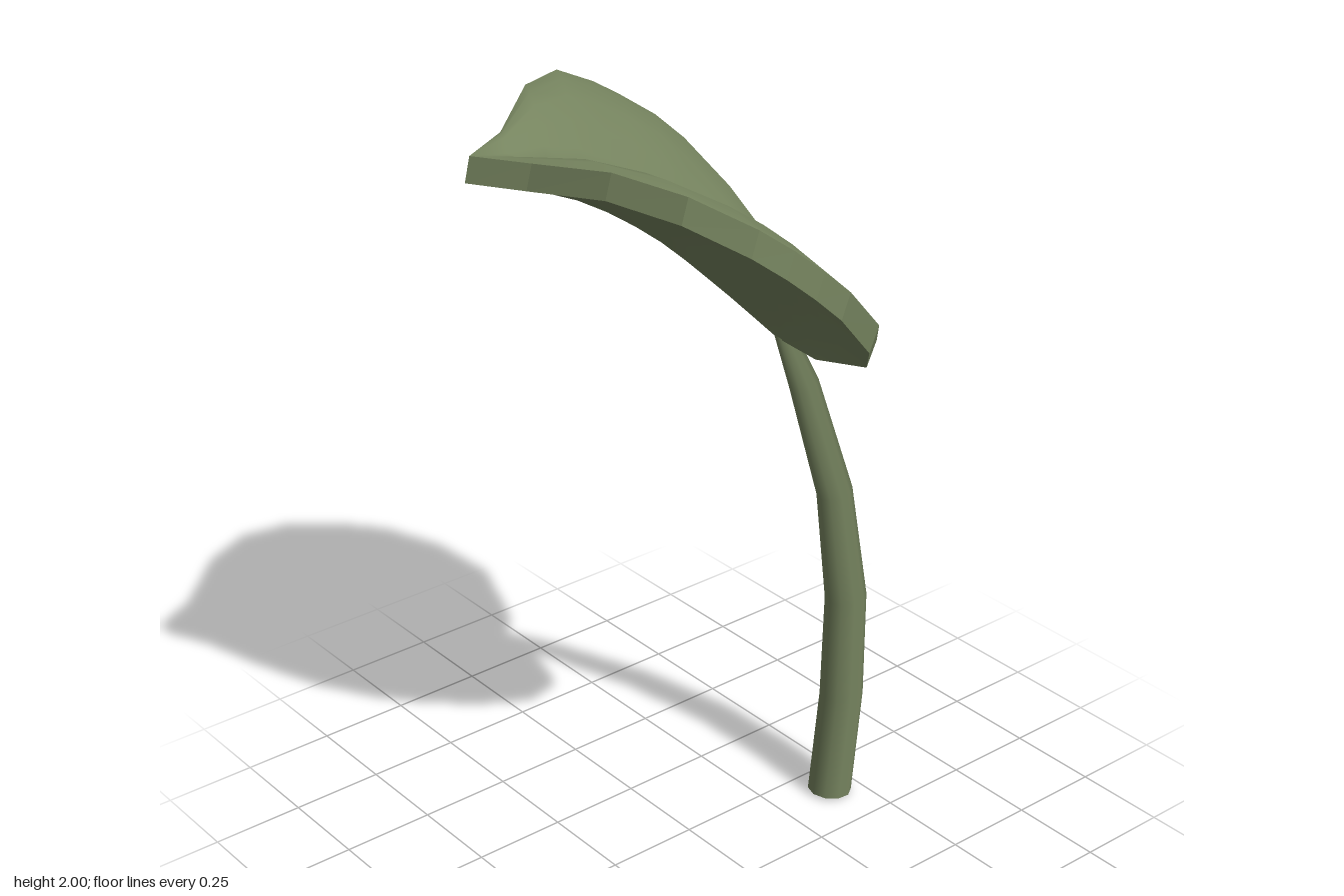
import * as THREE from 'three';

const green = new THREE.MeshStandardMaterial({ color: 0x76845f });
green.name = 'leafGreen';

const V = (p) => new THREE.Vector3(...p);

// Leaf edges, each from the notch side to the tip side
const notch = V([0.05, 1.45, -0.27]);
const tip = V([-0.2, 1.96, 0.48]);
const rightEdge = [
  [-0.02, 1.44, -0.35], [-0.22, 1.505, -0.45], [-0.37, 1.61, -0.44], [-0.47, 1.73, -0.37], [-0.5, 1.8, -0.3],
  [-0.53, 1.865, -0.21], [-0.545, 1.91, -0.14], [-0.51, 1.98, 0], [-0.42, 2, 0.16], [-0.26, 1.97, 0.35],
].map(V);
const leftEdge = [
  [0.18, 1.435, -0.28], [0.4, 1.505, -0.24], [0.51, 1.61, -0.14], [0.54, 1.735, -0.02], [0.53, 1.8, 0.05],
  [0.51, 1.86, 0.12], [0.47, 1.915, 0.19], [0.35, 1.98, 0.29], [0.17, 2, 0.36], [-0.05, 1.97, 0.415],
].map(V);
const midrib = new THREE.CatmullRomCurve3([
  notch, V([-0.01, 1.62, -0.11]), V([-0.06, 1.77, 0.05]), V([-0.12, 1.89, 0.24]), tip,
]);

const ROWS = leftEdge.length + 1;
const HALF = 5;
const COLS = HALF * 2 + 1;

// Rows shrink to a single vertex at the notch and at the tip
const id = (i, j) => (i === 0 ? 0 : i === ROWS ? 1 : 2 + (i - 1) * COLS + j);

function makeSurface(points, index) {
  const g = new THREE.BufferGeometry().setFromPoints(points);
  g.setIndex(index);
  g.computeVertexNormals();
  return g;
}

function makeBlade() {
  // Upper face: each half swells softly between the midrib and its edge
  const top = [notch.clone(), tip.clone()];
  for (let i = 1; i < ROWS; i++) {
    const t = i / ROWS;
    const mid = midrib.getPoint(t);
    for (let j = 0; j < COLS; j++) {
      const s = Math.abs(j - HALF) / HALF;
      const edge = (j < HALF ? rightEdge : leftEdge)[i - 1];
      const p = mid.clone().lerp(edge, s);
      p.y += 0.08 * s * Math.sin(Math.PI * s) * Math.sin(Math.PI * t);
      top.push(p);
    }
  }
  const up = [];
  for (let i = 0; i < ROWS; i++) {
    for (let j = 0; j < COLS - 1; j++) {
      const a = id(i, j), b = id(i + 1, j), c = id(i, j + 1), d = id(i + 1, j + 1);
      if (a !== c) up.push(a, b, c);
      if (b !== d) up.push(b, d, c);
    }
  }
  const upper = makeSurface(top, up);

  // Lower face: the upper one dropped and pushed forward, more so at the back
  const bottom = top.map((p) => new THREE.Vector3(p.x, p.y - 0.062, p.z + 0.025 - 0.02 * p.z));
  const lower = makeSurface(bottom, [...up].reverse());

  // Rim: flat strip around the outline
  const loop = [];
  for (let i = 0; i <= ROWS; i++) loop.push(id(i, 0));
  for (let i = ROWS - 1; i > 0; i--) loop.push(id(i, COLS - 1));
  const strip = [];
  loop.forEach((p, k) => {
    const q = loop[(k + 1) % loop.length];
    strip.push(top[p], bottom[p], top[q], top[q], bottom[p], bottom[q]);
  });
  const rim = new THREE.BufferGeometry().setFromPoints(strip);
  rim.computeVertexNormals();

  const blade = new THREE.Group();
  blade.name = 'leafBlade';
  for (const [name, g] of [['upperFace', upper], ['lowerFace', lower], ['leafRim', rim]]) {
    const mesh = new THREE.Mesh(g, green);
    mesh.name = name;
    blade.add(mesh);
  }
  return blade;
}

function makeStem() {
  // Stations: x, y, z, radius, tilt of the ring
  const stations = [
    [0.096, 0.006, -0.417, 0.059, -0.08],
    [0.106, 0.31, -0.44, 0.058, -0.04],
    [0.108, 0.61, -0.443, 0.055, 0.06],
    [0.097, 0.93, -0.402, 0.046, 0.25],
    [0.071, 1.25, -0.312, 0.036, 0.45],
    [0.051, 1.42, -0.25, 0.021, 0.5],
  ];
  const last = stations.length - 1;
  const g = new THREE.CylinderGeometry(1, 1, 1, 10, last);
  const pos = g.attributes.position;
  for (let k = 0; k < pos.count; k++) {
    const [x, y, z, r, tilt] = stations[Math.round((pos.getY(k) + 0.5) * last)];
    const dz = pos.getZ(k) * r;
    pos.setXYZ(k, x + pos.getX(k) * r, y - dz * tilt, z + dz);
  }
  const stem = new THREE.Mesh(g, green);
  stem.name = 'stem';
  return stem;
}

export function createModel() {
  const model = new THREE.Group();
  model.name = 'leaf';
  model.add(makeBlade(), makeStem());
  return model;
}
